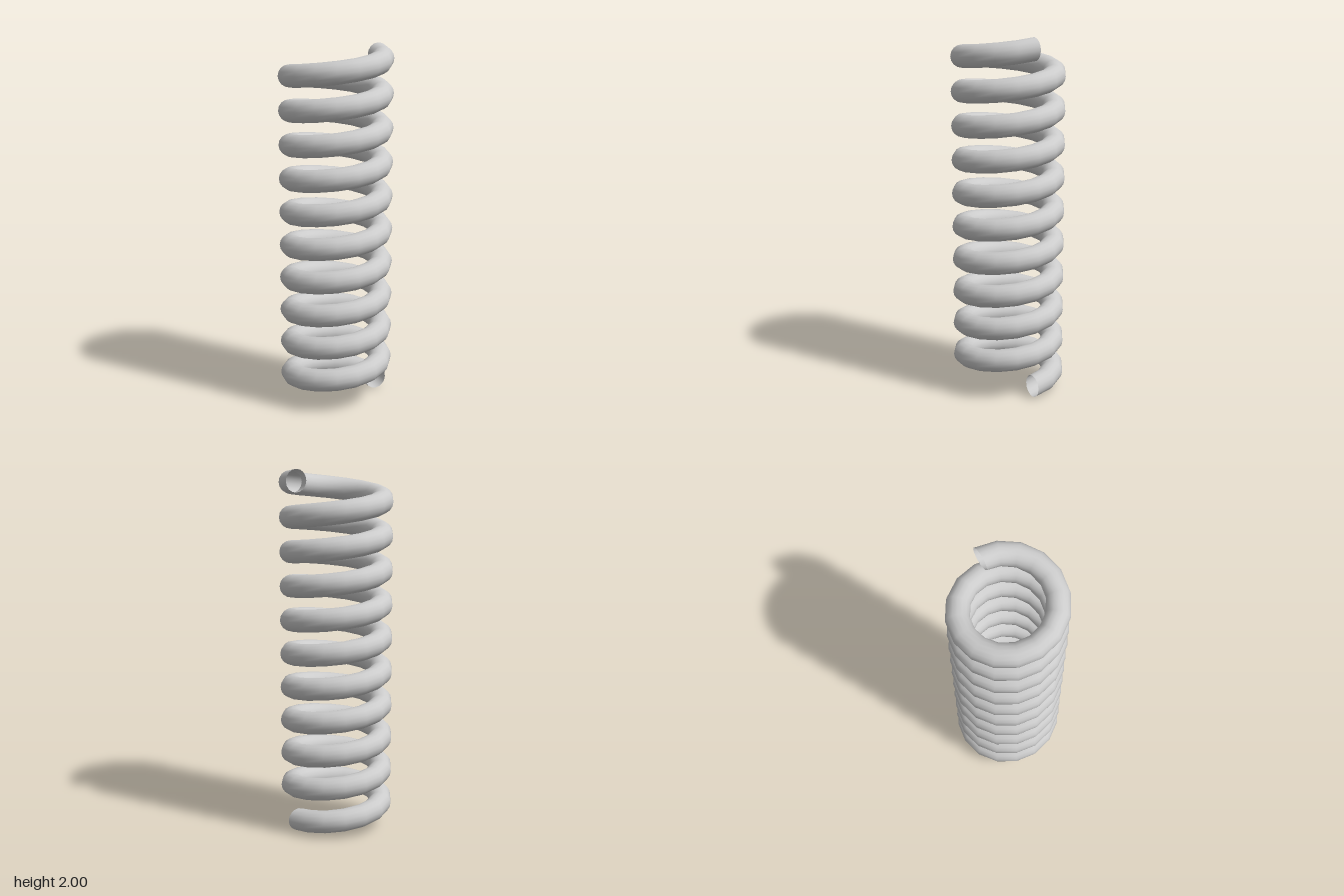
import * as THREE from 'three';
import { mergeVertices } from 'three/addons/utils/BufferGeometryUtils.js';

const COIL_RADIUS = 0.25;
const WIRE_RADIUS = 0.0625;
const TURNS = 10;
const STEPS_PER_TURN = 16;
const WIRE_SIDES = 16;
const RISE = 2 - 2 * WIRE_RADIUS;

// A ring wound several times, then lifted steadily along its length into a helix.
// The cross-sections stay upright, so both ends are cut vertically.
function coilGeometry() {
  const steps = TURNS * STEPS_PER_TURN;
  const ring = new THREE.TorusGeometry(COIL_RADIUS, WIRE_RADIUS, WIRE_SIDES, steps, TURNS * Math.PI * 2);
  ring.rotateX(-Math.PI / 2);
  const pos = ring.attributes.position;
  for (let i = 0; i < pos.count; i++) {
    const along = (i % (steps + 1)) / steps;
    pos.setY(i, pos.getY(i) + WIRE_RADIUS + RISE * along);
  }
  // Weld the lengthwise seam so the wire shades smoothly all round
  ring.deleteAttribute('uv');
  ring.deleteAttribute('normal');
  const welded = mergeVertices(ring, 1e-5);
  welded.computeVertexNormals();
  return welded;
}

export function createModel() {
  const group = new THREE.Group();
  group.name = 'coilSpring';

  // Open-ended wire
  const material = new THREE.MeshStandardMaterial({ color: 0xcccccc, side: THREE.DoubleSide });
  const coil = new THREE.Mesh(coilGeometry(), material);
  coil.name = 'coil';
  group.add(coil);

  return group;
}
